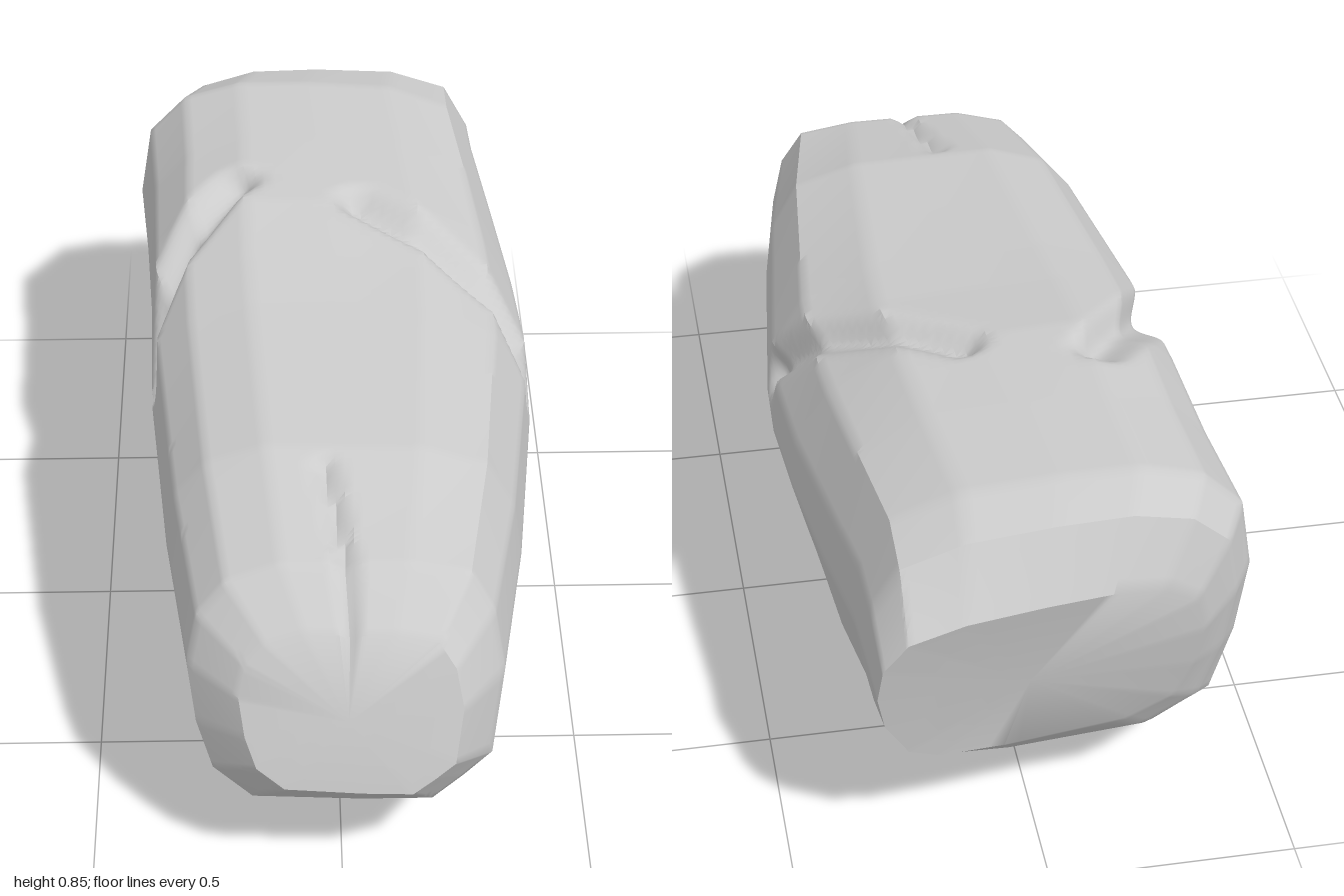
import * as THREE from 'three';
import { toCreasedNormals } from 'three/addons/utils/BufferGeometryUtils.js';

// Cross-section outlines, counter-clockwise: x from -1 to 1, y from 0 to 1
const BODY = [[.15, 0], [.5, .035], [.58, .07], [.86, .36], [1, .6], [.98, .72], [.8, .87], [.45, .97],
  [0, .985], [-.5, 1], [-.8, .95], [-.97, .86], [-1, .66], [-.93, .38], [-.87, .13], [-.63, .02]];
const NOSE = [[.1, 0], [.55, 0], [.75, .1], [.93, .2], [1, .55], [.93, .8], [.78, .96], [.4, 1],
  [0, 1], [-.4, 1], [-.75, .93], [-.93, .8], [-1, .6], [-.95, .35], [-.85, .15], [-.6, .02]];
const TAIL = [[.2, 0], [.6, .02], [.8, .1], [.95, .33], [1, .55], [.97, .75], [.82, .91], [.48, .98],
  [0, 1], [-.4, 1], [-.72, .95], [-.93, .83], [-1, .6], [-.95, .35], [-.84, .13], [-.55, .02]];

// Stations front to back: z, left x, right x, bottom, top, end outline, its share,
// lean of z with height, skew of z across the width
const STATIONS = [
  [.95, -.2, .23, .31, .62, NOSE, 1, -.33, .04],
  [.84, -.3, .315, .2, .705, NOSE, 1, -.22, 0],
  [.5, -.345, .37, .125, .775, NOSE, .6, 0, 0],
  [.05, -.385, .42, .06, .81, NOSE, .25, 0, 0],
  [-.1, -.39, .425, .03, .825, NOSE, .1, 0, 0],
  [-.3, -.395, .41, 0, .85, TAIL, .15, 0, 0],
  [-.55, -.41, .38, .07, .85, TAIL, .6, 0, 0],
  [-.77, -.43, .35, .155, .85, TAIL, .9, -.06, 0],
  [-.86, -.385, .345, .21, .82, TAIL, 1, -.13, -.05],
  [-.93, -.31, .335, .29, .69, TAIL, 1, -.2, -.12]];

// Cracks run over the unrolled surface: distance around the middle, and z
const v = (x, y, z) => new THREE.Vector3(x, y, z);
const MIDDLE = .43;
const unroll = (p) => v(.4 * Math.atan2(p.x, p.y - MIDDLE), 0, p.z);

// Start, end, half width, depth
const CRACKS = [
  [v(.06, .81, -.31), v(.41, .57, .02), .065, .045],
  [v(-.2, .82, -.38), v(-.37, .6, .02), .065, .045],
  [v(-.03, .75, .55), v(.02, .65, .9), .04, .02],
  [v(-.34, .25, .1), v(-.16, .08, .14), .06, .04],
  [v(.2, .06, .0), v(.36, .28, -.34), .09, .04]
].map(([a, b, width, depth]) => ({ line: new THREE.Line3(unroll(a), unroll(b)), width, depth }));

function crack(p) {
  const flat = unroll(p), near = v(0, 0, 0);
  const inward = v(-p.x, MIDDLE - p.y, 0).normalize();
  for (const { line, width, depth } of CRACKS) {
    line.closestPointToPoint(flat, true, near);
    const fade = 1 - THREE.MathUtils.smoothstep(near.distanceTo(flat), 0, width);
    p.addScaledVector(inward, depth * fade);
  }
  return p;
}

const SUB = 8;
const lerp = THREE.MathUtils.lerp;

// One ring of points for a station
function ring([z, x0, x1, y0, y1, end, share, lean, skew]) {
  const corners = BODY.map(([bx, by], i) => {
    const x = lerp(x0, x1, (lerp(bx, end[i][0], share) + 1) / 2);
    const y = lerp(y0, y1, lerp(by, end[i][1], share));
    return v(x, y, z + lean * (y - .45) + skew * x);
  });
  return corners.flatMap((c, i) => Array.from({ length: SUB }, (_, k) =>
    c.clone().lerp(corners[(i + 1) % corners.length], k / SUB)));
}

function rockGeometry() {
  // Straight runs between stations, split finely enough for the cracks
  const rings = [];
  STATIONS.forEach((s, i) => {
    const next = STATIONS[i + 1];
    if (!next) return rings.push(ring(s));
    const from = ring(s), to = ring(next);
    const steps = Math.ceil((s[0] - next[0]) / .015);
    for (let k = 0; k < steps; k++) rings.push(from.map((p, j) => p.clone().lerp(to[j], k / steps)));
  });
  const n = rings[0].length;
  const points = rings.flat().map(crack);
  const index = [];
  for (let i = 0; i < rings.length - 1; i++) {
    for (let j = 0; j < n; j++) {
      const a = i * n + j, b = i * n + (j + 1) % n;
      index.push(a, a + n, b, b, a + n, b + n);
    }
  }
  // Slightly full front face, and a hollow back face
  const last = (rings.length - 1) * n, front = points.length, back = front + 1;
  points.push(v(.01, .46, .96), v(.03, .46, -.92));
  for (let j = 0; j < n; j++) {
    const k = (j + 1) % n;
    index.push(front, j, k, back, last + k, last + j);
  }
  const geometry = new THREE.BufferGeometry().setFromPoints(points);
  geometry.setIndex(index);
  return toCreasedNormals(geometry, .65);
}

export function createModel() {
  const group = new THREE.Group();
  group.name = 'rock';
  const boulder = new THREE.Mesh(rockGeometry(), new THREE.MeshStandardMaterial({ color: 0xcccccc }));
  boulder.name = 'boulder';
  group.add(boulder);
  return group;
}
